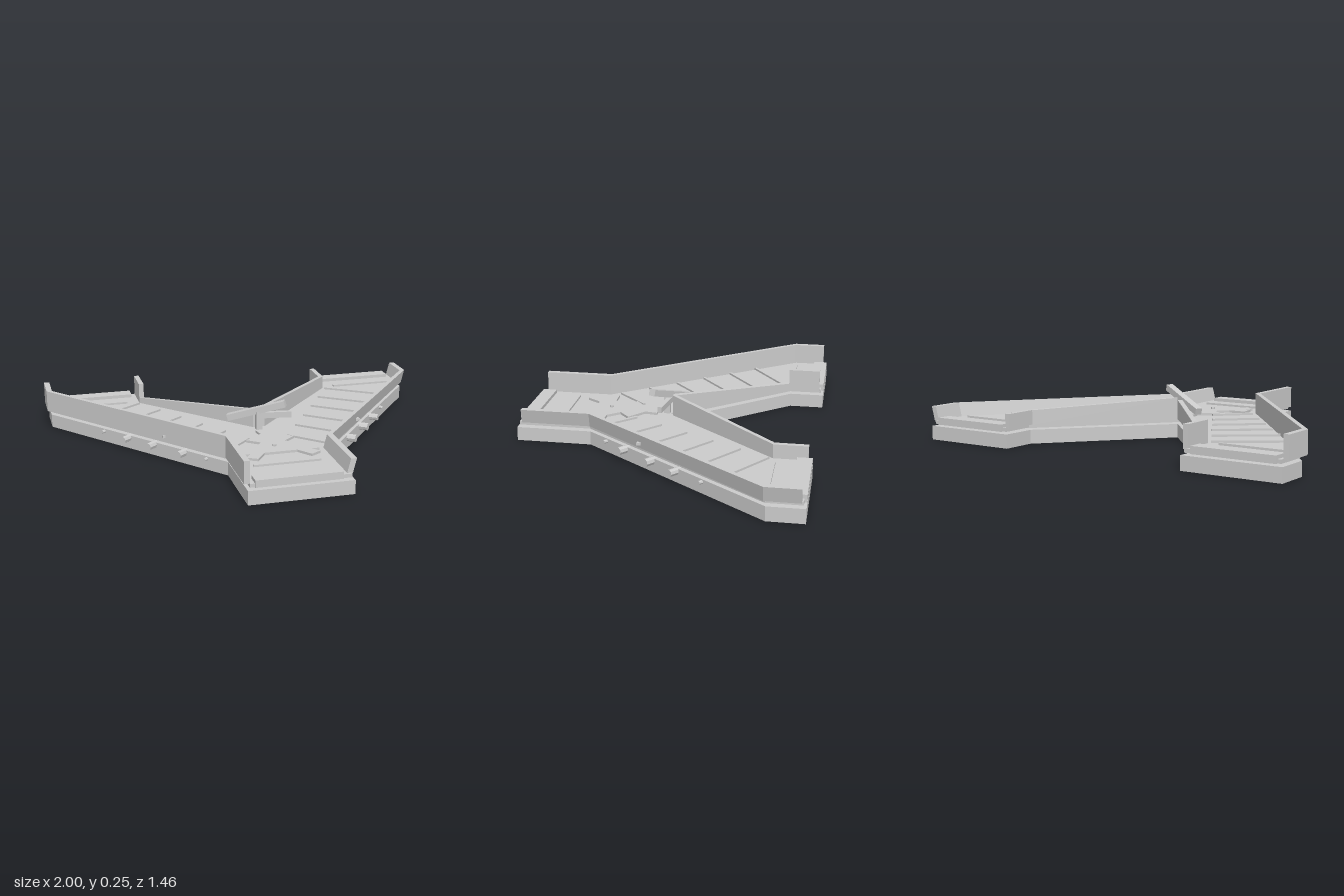
import * as THREE from 'three';

const mat = new THREE.MeshStandardMaterial({ color: 0xcccccc, flatShading: true, side: THREE.DoubleSide });

export function createModel() {
  const model = new THREE.Group();
  model.name = 'forkedConveyor';

  const add = (name, geometry) => {
    const mesh = new THREE.Mesh(geometry, mat);
    mesh.name = name;
    model.add(mesh);
    return mesh;
  };

  // Flat plate from an outline of [x, z] points
  const plate = (name, points, y0, y1) => {
    const shape = new THREE.Shape(points.map(([x, z]) => new THREE.Vector2(x, z)));
    const geometry = new THREE.ExtrudeGeometry(shape, { depth: y1 - y0, bevelEnabled: false });
    geometry.rotateX(Math.PI / 2);
    add(name, geometry).position.y = y1;
  };

  // Box whose long axis runs between two points
  const bar = (name, a, b, height, width) => {
    const from = new THREE.Vector3(...a), to = new THREE.Vector3(...b);
    const mesh = add(name, new THREE.BoxGeometry(width, height, from.distanceTo(to)));
    mesh.position.copy(from).add(to).multiplyScalar(0.5);
    mesh.lookAt(to);
  };

  // Y outline, moved inwards by d
  const outline = (d) => {
    const half = [
      [0.49 + d, -0.56 + 0.3 * d], [0.49 + d, -0.73 + d], [0.98 - d, -0.73 + d],
      [0.98 - d, -0.56 + 0.3 * d], [0.25 - d, 0.36 + 0.3 * d], [0.25 - d, 0.73 - d],
    ];
    return [[0, -0.01 + 1.5 * d], ...half, ...half.map(([x, z]) => [-x, z]).reverse()];
  };

  // Rail lofted through [x, z, top] stations; flare leans the top outwards
  const rail = (name, side, stations, bottom, thickness, flare) => {
    const position = [], index = [];
    for (const [x, z, top] of stations) {
      position.push(side * (x - flare), bottom, z, side * x, top, z,
        side * (x - thickness), top, z, side * (x - thickness - flare), bottom, z);
    }
    const quad = (a, b, c, d) => {
      if (side > 0) index.push(a, b, c, a, c, d);
      else index.push(a, c, b, a, d, c);
    };
    for (let i = 0; i < stations.length - 1; i++) {
      for (let k = 0; k < 4; k++) {
        const n = (k + 1) % 4;
        quad(i * 4 + k, i * 4 + n, i * 4 + 4 + n, i * 4 + 4 + k);
      }
    }
    const e = (stations.length - 1) * 4;
    quad(3, 2, 1, 0);
    quad(e, e + 1, e + 2, e + 3);
    let geometry = new THREE.BufferGeometry();
    geometry.setAttribute('position', new THREE.Float32BufferAttribute(position, 3));
    geometry.setIndex(index);
    geometry = geometry.toNonIndexed();
    geometry.computeVertexNormals();
    add(name, geometry);
  };

  // Base, recessed spacer and belt deck
  plate('base', outline(0), 0, 0.068);
  plate('spacer', outline(0.06), 0.068, 0.08);
  plate('deck', outline(0.012), 0.078, 0.096);

  // Outer rails: tall on one side, low and flared on the other
  for (const side of [1, -1]) {
    const top = side > 0 ? 0.163 : 0.2;
    rail('outerRail', side,
      [[1, -0.71, top], [1, -0.55, top], [0.262, 0.365, top], [0.262, 0.705, top]],
      0.092, 0.028, side > 0 ? 0.018 : 0);
  }

  // Inner rails sloping down from the fork, with upright end guards
  rail('innerRail', 1, [[0.03, -0.01, 0.2], [0.515, -0.55, 0.163]], 0.092, 0.03, 0);
  rail('innerRail', -1, [[0.03, -0.01, 0.19], [0.515, -0.55, 0.125]], 0.092, 0.03, 0);
  rail('innerEndGuard', 1, [[0.515, -0.71, 0.163], [0.515, -0.55, 0.163]], 0.092, 0.025, 0);
  rail('innerEndGuard', -1, [[0.515, -0.71, 0.2], [0.515, -0.55, 0.2]], 0.092, 0.025, 0);

  // Raised cover at each mouth
  for (const [x, z] of [[0.73, -0.695], [-0.745, -0.695], [-0.01, 0.69]]) {
    add('endCover', new THREE.BoxGeometry(0.41, 0.035, 0.07)).position.set(x, 0.095, z);
  }

  // Cross slats and side bolts
  const outward = new THREE.Vector3(0.78, 0, 0.62);
  for (const side of [1, -1]) {
    bar('slat', [side * 0.9, 0.1, -0.56], [side * 0.58, 0.1, -0.56], 0.012, 0.014);
    for (let i = 0; i < 6; i++) {
      const t = i / 5;
      bar('slat',
        [side * (0.8 - 0.55 * t), 0.1, -0.34 + 0.65 * t],
        [side * (0.52 - 0.42 * t), 0.1, -0.53 + 0.69 * t], 0.012, 0.014);
    }
    for (const [z, r] of [[0.26, 0.009], [0.15, 0.019], [0, 0.019], [-0.13, 0.017], [-0.26, 0.009]]) {
      const bolt = add('sideBolt', new THREE.CylinderGeometry(r, r, r > 0.01 ? 0.09 : 0.04, 8));
      const direction = outward.clone().setX(side * outward.x);
      bolt.quaternion.setFromUnitVectors(new THREE.Vector3(0, 1, 0), direction);
      bolt.position.set(side * (0.25 + (0.36 - z) * 0.793), 0.055, z);
    }
    // Small rail studs
    add('railStud', new THREE.BoxGeometry(0.02, 0.012, 0.02))
      .position.set(side * 0.495, 0.118, 0.07);
  }
  bar('slat', [-0.17, 0.1, 0.52], [0.155, 0.1, 0.52], 0.012, 0.014);

  // Raised cross plate at the junction
  const halfCross = [
    [0.04, 0.07], [0.03, 0.13], [0.12, 0.2], [0.06, 0.25], [0.11, 0.31], [0.2, 0.31],
    [0.19, 0.39], [0.15, 0.39], [0.18, 0.43], [0.13, 0.46], [0.08, 0.39],
  ];
  plate('junctionPlate', [...halfCross, ...halfCross.map(([x, z]) => [-x, z]).reverse()], 0.096, 0.108);
  add('plateStud', new THREE.CylinderGeometry(0.01, 0.01, 0.01, 6)).position.set(-0.01, 0.112, 0.31);

  // Diverter: post, lower bar and tilted paddle
  add('diverterPost', new THREE.BoxGeometry(0.03, 0.1, 0.03)).position.set(-0.01, 0.14, 0.025);
  bar('diverterBar', [-0.02, 0.165, 0.01], [0.155, 0.165, 0.035], 0.03, 0.022);
  bar('diverterPaddle', [-0.15, 0.147, -0.05], [0.11, 0.237, 0.08], 0.032, 0.035);

  return model;
}
